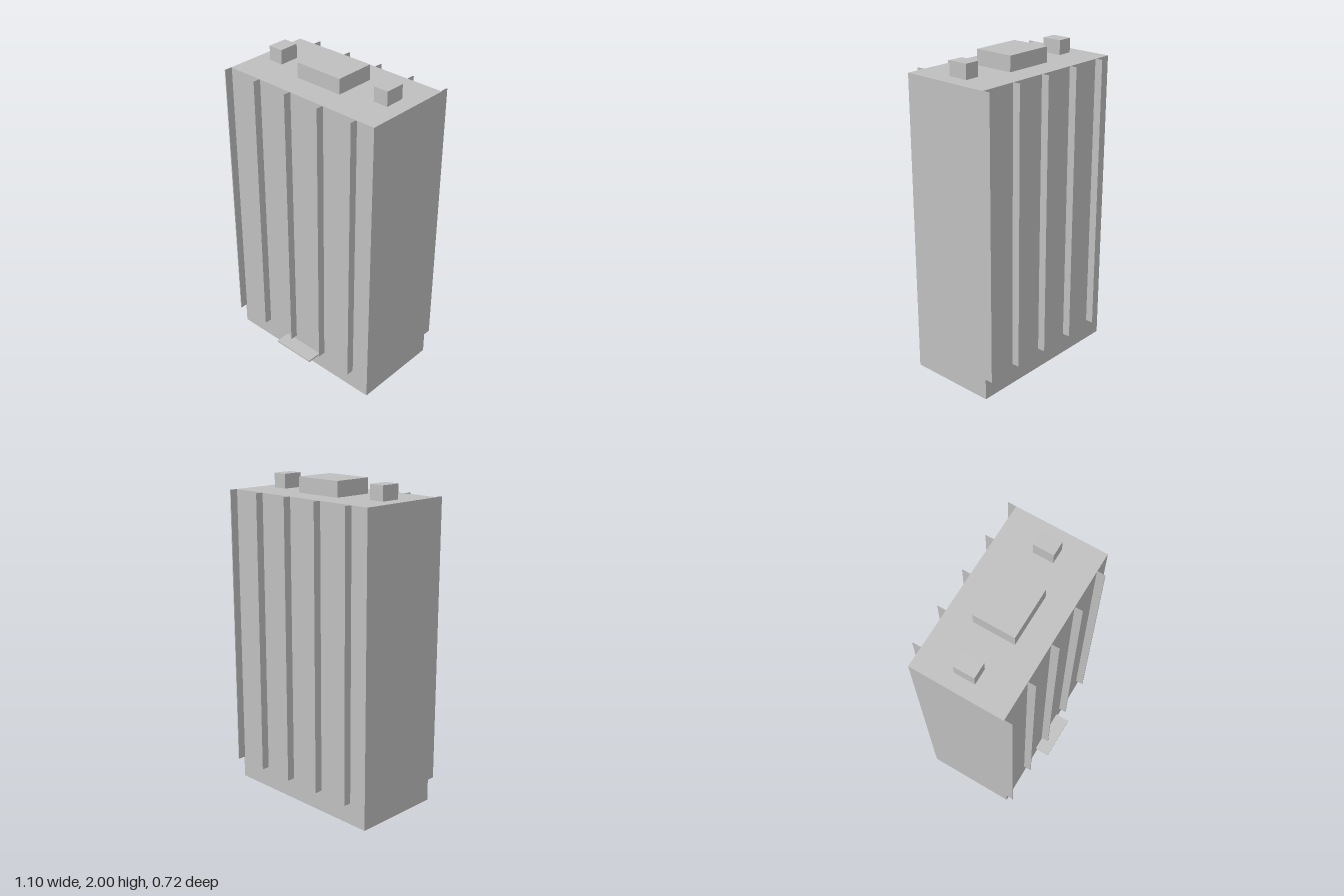
import * as THREE from 'three';

// Face order of a box: 0 +x, 1 -x, 2 +y, 3 -y, 4 +z, 5 -z
function openBox(x, y, z, open = []) {
  const geo = new THREE.BoxGeometry(x[1] - x[0], y[1] - y[0], z[1] - z[0]);
  geo.translate((x[0] + x[1]) / 2, (y[0] + y[1]) / 2, (z[0] + z[1]) / 2);
  const index = Array.from(geo.index.array).filter((_, i) => !open.includes(Math.floor(i / 6)));
  geo.setIndex(index);
  geo.clearGroups();
  return geo;
}

export function createModel() {
  const model = new THREE.Group();
  model.name = 'towerBlock';
  const concrete = new THREE.MeshStandardMaterial({ color: 0xbfbfbf, side: THREE.DoubleSide });
  concrete.name = 'concrete grey';

  const add = (name, x, y, z, open) => {
    const mesh = new THREE.Mesh(openBox(x, y, z, open), concrete);
    mesh.name = name;
    model.add(mesh);
    return mesh;
  };

  const half = 0.548, roof = 1.905, front = 0.266, back = -0.312;

  // Hollow main block, open underneath
  add('building', [-half, half], [0, roof], [back, front], [3]);

  // Thin uncapped fins, the back row being the front row turned half around
  [-0.545, -0.307, -0.065, 0.183, 0.427].forEach((x, i) => {
    const w = 0.003;
    add('frontFin' + (i + 1), [x - w, x + w], [0.137, roof], [front, front + 0.05], [2, 3, 5]);
    add('backFin' + (i + 1), [-x - w, -x + w], [0.137, roof], [back - 0.05, back], [2, 3, 4]);
  });

  // Entrance canopy
  add('canopy', [-0.145, 0.143], [0.094, 0.105], [front, 0.362], [5]);

  // Rooftop housings
  add('roofHousing', [-0.164, 0.157], [roof, 2], [-0.154, 0.103], [3]);
  add('rightRoofVent', [-0.456, -0.359], [roof, 1.995], [-0.09, 0.038], [3]);
  add('leftRoofVent', [0.35, 0.445], [roof, 1.995], [-0.09, 0.038], [3]);

  return model;
}
